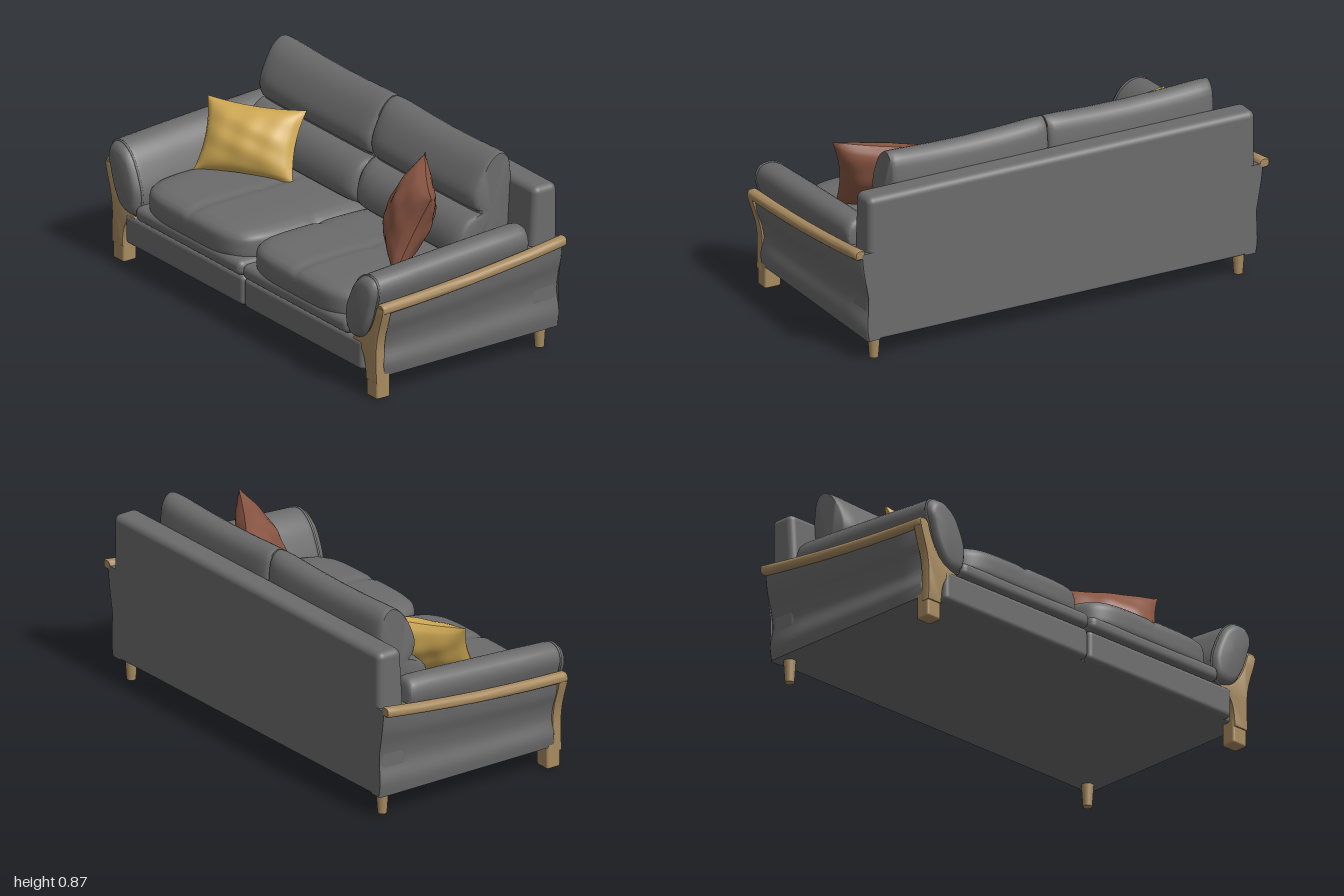
import * as THREE from 'three';
import { mergeVertices, mergeGeometries, toCreasedNormals } from 'three/addons/utils/BufferGeometryUtils.js';
import { RoundedBoxGeometry } from 'three/addons/geometries/RoundedBoxGeometry.js';

const V = (x, y, z) => new THREE.Vector3(x, y, z);
const mat = (name, color) => Object.assign(new THREE.MeshStandardMaterial({ color }), { name });

// Closed skin over a row of equal-length rings, with end caps, always facing outward
function loft(rings, crease = 0.8) {
  const n = rings[0].length, pts = rings.flat(), idx = [];
  for (let r = 0; r < rings.length - 1; r++)
    for (let i = 0; i < n; i++) {
      const a = r * n + i, b = r * n + (i + 1) % n;
      idx.push(a, b, a + n, b, b + n, a + n);
    }
  [0, rings.length - 1].forEach((r, end) => {
    const c = rings[r].reduce((s, p) => s.add(p), V(0, 0, 0)).divideScalar(n);
    pts.push(c);
    for (let i = 0; i < n; i++) {
      const a = r * n + i, b = r * n + (i + 1) % n;
      idx.push(pts.length - 1, ...(end ? [a, b] : [b, a]));
    }
  });
  let volume = 0;
  for (let i = 0; i < idx.length; i += 3)
    volume += pts[idx[i]].dot(V(0, 0, 0).crossVectors(pts[idx[i + 1]], pts[idx[i + 2]]));
  if (volume < 0) idx.reverse();
  const g = new THREE.BufferGeometry().setFromPoints(pts);
  g.setIndex(idx);
  return toCreasedNormals(g, crease);
}

// Smooth closed outline through [a, b] pairs
const outline = (pairs, count) => new THREE.CatmullRomCurve3(
  pairs.map(([a, b]) => V(a, b, 0)), true, 'centripetal').getSpacedPoints(count).slice(0, count);

// Move every vertex by a rule and smooth the result
function reshape(geometry, rule) {
  geometry.deleteAttribute('uv');
  geometry.deleteAttribute('normal');
  const g = mergeVertices(geometry, 1e-5), p = g.attributes.position, v = V(0, 0, 0);
  for (let i = 0; i < p.count; i++) {
    rule(v.fromBufferAttribute(p, i));
    p.setXYZ(i, v.x, v.y, v.z);
  }
  g.computeVertexNormals();
  return g;
}

// Plump seat pad with stitched dents across and along its top
function seatPad(w, h, d) {
  return reshape(new THREE.BoxGeometry(2, 2, 2, 40, 10, 40), v => {
    const k = (Math.abs(v.x) ** 5 + Math.abs(v.y) ** 5 + Math.abs(v.z) ** 5) ** -0.2;
    v.multiplyScalar(k).multiply(V(w / 2, h / 2, d / 2));
    if (v.y > 0) {
      v.y -= 0.008 * Math.exp(-((v.x / 0.02) ** 2));
      v.y -= 0.008 * Math.exp(-((v.z / 0.02) ** 2));
    }
  });
}

// Throw pillow with pulled-out corners and soft wrinkles
function pillow(w, h, t) {
  const side = s => reshape(new THREE.PlaneGeometry(2, 2, 28, 28), v => {
    const u = v.x * s, q = v.y, e = Math.max(0, (1 - u * u) * (1 - q * q));
    const folds = 1 + 0.07 * Math.sin(7 * u + 4 * q) * Math.sin(5 * q - 3 * u);
    v.set(u * w / 2 * (1 - 0.1 * (1 - q * q)), q * h / 2 * (1 - 0.1 * (1 - u * u)), s * t * e ** 0.55 * folds);
  });
  return mergeGeometries([side(1), side(-1)]);
}

export function createModel() {
  const fabric = mat('grey fabric', 0x6c6c6c), wood = mat('oak wood', 0xa88b60);
  const mustard = mat('mustard cloth', 0xd0aa55), rust = mat('rust cloth', 0x8a5643);
  const model = new THREE.Group();
  model.name = 'sofa';
  const add = (name, geometry, material, x = 0, y = 0, z = 0) => {
    const m = new THREE.Mesh(geometry, material);
    m.name = name;
    m.position.set(x, y, z);
    model.add(m);
    return m;
  };

  // Base and back panel
  add('base', new RoundedBoxGeometry(1.85, 0.15, 0.925, 3, 0.012), fabric, 0, 0.175, -0.0275);
  const back = new RoundedBoxGeometry(1.87, 0.55, 0.12, 4, 0.03);
  const bp = back.attributes.position;
  for (let i = 0; i < bp.count; i++)
    if (bp.getZ(i) > 0) bp.setZ(i, bp.getZ(i) + 0.06 * (0.275 - bp.getY(i)));
  add('backPanel', back, fabric, 0, 0.48, -0.43);

  const railTop = z => 0.443 + 0.03 * (0.46 - z) + 0.055 * ((0.46 - z) / 0.95) ** 2;

  const armShape = outline([[0.76, 0.25], [0.84, 0.25], [0.895, 0.32], [0.935, 0.43], [0.952, 0.5],
    [0.93, 0.543], [0.87, 0.552], [0.81, 0.515], [0.765, 0.44], [0.735, 0.34]], 48);
  const armRing = (s, z, k) => armShape.map(p => {
    const x = 0.85 + (p.x - 0.85) * k, y = 0.4 + (p.y - 0.4) * k;
    return V(s * x, y + 0.045 * (0.45 - z) / 0.78 * Math.max(0, (y - 0.24) / 0.31), z);
  });

  const backShape = outline([[-0.36, 0.41], [-0.385, 0.6], [-0.385, 0.78], [-0.368, 0.85], [-0.325, 0.876],
    [-0.26, 0.845], [-0.205, 0.765], [-0.18, 0.69], [-0.195, 0.635], [-0.22, 0.618], [-0.185, 0.612],
    [-0.135, 0.58], [-0.102, 0.52], [-0.1, 0.45], [-0.15, 0.41]], 72);

  for (const s of [1, -1]) {
    const side = s > 0 ? 'left' : 'right';

    // Front skirt and seat
    add(side + 'FrontSkirt', new RoundedBoxGeometry(0.845, 0.138, 0.08, 4, 0.022), fabric, s * 0.4235, 0.17, 0.43);
    add(side + 'SeatSlab', new RoundedBoxGeometry(0.755, 0.07, 0.78, 4, 0.03), fabric, s * 0.381, 0.272, 0.095);
    add(side + 'SeatCushion', seatPad(0.76, 0.17, 0.79), fabric, s * 0.381, 0.34, 0.09);

    // Back cushion with lumbar roll
    const x0 = 0.003, x1 = s > 0 ? 0.757 : 0.795;
    const steps = [[0, 0.8], [0.008, 0.88], [0.03, 0.95], [0.08, 0.99], [0.16, 1], [0.3, 1], [0.5, 1]];
    const stations = [...steps, ...steps.slice(0, -1).reverse().map(([t, k]) => [1 - t, k])];
    add(side + 'BackCushion', loft(stations.map(([t, k]) => backShape.map(p => {
      const sag = 0.014 * Math.sin(Math.PI * t) * Math.max(0, (p.y - 0.6) / 0.27);
      return V(s * (x0 + (x1 - x0) * t), 0.65 + (p.y - 0.65) * (1 - (1 - k) * 0.12) - sag,
        -0.3 + (p.x + 0.3) * k);
    }))), fabric);

    // Arm cushion with piping around its front
    const armStations = [[0.49, 0.72], [0.486, 0.82], [0.476, 0.91], [0.46, 0.97], [0.43, 1], [0.25, 1.01],
      [0.05, 1.01], [-0.15, 1.01], [-0.29, 1], [-0.315, 0.97], [-0.328, 0.92], [-0.333, 0.8]];
    add(side + 'ArmCushion', loft(armStations.map(([z, k]) => armRing(s, z, k))), fabric);
    add(side + 'ArmPiping', new THREE.TubeGeometry(
      new THREE.CatmullRomCurve3(armRing(s, 0.455, 0.98), true), 72, 0.005, 6, true), fabric);

    // Flared side panel under the rail
    const flare = new THREE.SplineCurve([[0.94, 0.1], [0.948, 0.17], [0.932, 0.25], [0.942, 0.33],
      [0.965, 0.41], [0.975, 0.5]].map(p => new THREE.Vector2(...p))).getPoints(20);
    const panelRings = [0.428, 0.42, 0.3, 0.15, 0, -0.15, -0.3, -0.48, -0.49].map((z, i, all) => {
      const inset = i === 0 || i === all.length - 1 ? 0.008 : 0;
      const top = railTop(z) - 0.02;
      const outer = flare.map(p => V(s * (p.x - inset), 0.1 + (p.y - 0.1) / 0.4 * (top - 0.1), z));
      return [...outer, V(s * 0.88, top, z), V(s * 0.88, 0.1, z)];
    });
    add(side + 'SidePanel', loft(panelRings), fabric);

    // Curved wooden arm rail
    const railShape = outline([[-0.024, -0.012], [-0.016, -0.02], [0.016, -0.02], [0.024, -0.012],
      [0.024, 0.01], [0.015, 0.02], [-0.015, 0.02], [-0.024, 0.01]], 24);
    const railRings = [0.462, 0.456, 0.44, 0.3, 0.15, 0, -0.15, -0.3, -0.42, -0.484, -0.49].map((z, i, all) => {
      const k = i === 0 || i === all.length - 1 ? 0.8 : 1;
      const cx = 0.967 + 0.009 * (0.46 - z) / 0.95;
      return railShape.map(p => V(s * (cx + p.x * k), railTop(z) - 0.02 + p.y * k, z));
    });
    add(side + 'ArmRail', loft(railRings), wood);

    // Forked front post, flowing into the leg
    const post = new THREE.Shape();
    post.moveTo(s * 0.872, 0.08);
    post.bezierCurveTo(s * 0.868, 0.17, s * 0.85, 0.222, s * 0.775, 0.234);
    post.bezierCurveTo(s * 0.86, 0.245, s * 0.91, 0.29, s * 0.948, 0.425);
    post.lineTo(s * 0.986, 0.425);
    post.bezierCurveTo(s * 0.975, 0.36, s * 0.935, 0.3, s * 0.936, 0.2);
    post.lineTo(s * 0.938, 0.08);
    const postGeo = new THREE.ExtrudeGeometry(post, {
      depth: 0.036, bevelSize: 0.005, bevelThickness: 0.005, bevelSegments: 2, curveSegments: 14 });
    add(side + 'FrontPost', toCreasedNormals(postGeo, 0.7), wood, 0, 0, 0.424);
    add(side + 'FrontLeg', new RoundedBoxGeometry(0.078, 0.16, 0.07, 3, 0.01), wood, s * 0.903, 0.08, 0.425);
    add(side + 'BackLeg', new THREE.CylinderGeometry(0.028, 0.02, 0.12, 20), wood, s * 0.88, 0.06, -0.433);
  }

  // Throw pillows leaning back at an angle
  add('mustardPillow', pillow(0.45, 0.32, 0.085), mustard, -0.575, 0.55, 0.01)
    .rotation.set(-0.52, 0.56, 0, 'YXZ');
  add('rustPillow', pillow(0.5, 0.39, 0.095), rust, 0.545, 0.595, 0.0)
    .rotation.set(-0.42, -0.58, 0, 'YXZ');

  return model;
}
